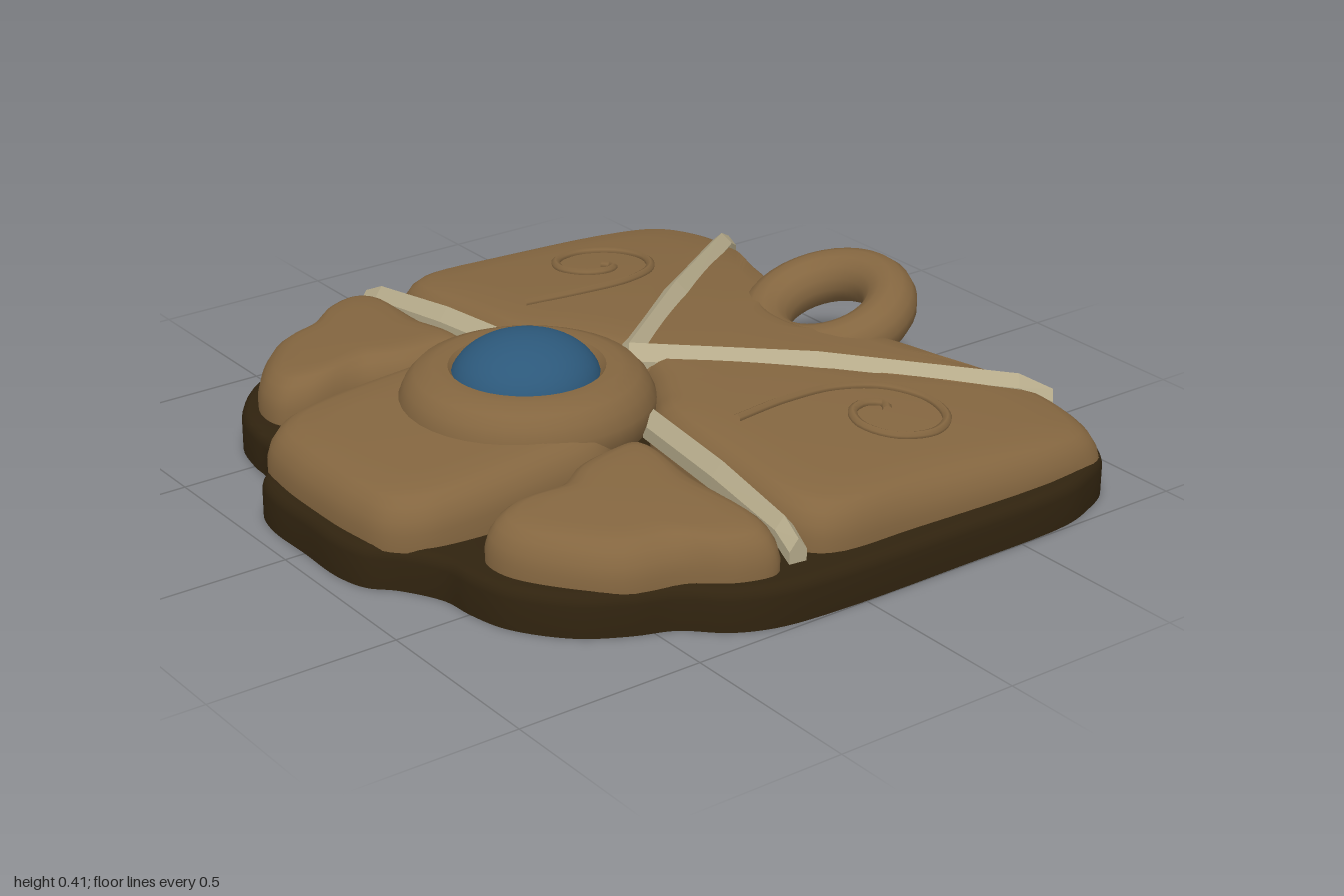
import * as THREE from 'three';
import { toCreasedNormals } from 'three/addons/utils/BufferGeometryUtils.js';

const mat = (name, color, side = THREE.FrontSide) => {
  const m = new THREE.MeshStandardMaterial({ color, side });
  m.name = name;
  return m;
};

// Gently domed height shared by the plates, scrolls and ribs
const dome = (x, z) => 0.28 - 0.07 * (x * x + z * z);

const mirrored = (pts) => pts.map(([x, ...rest]) => [-x, ...rest]);
// Half outline (front to back) completed to a symmetric loop
const symmetric = (half) => half.concat(mirrored(half).reverse().filter(([x]) => Math.abs(x) > 1e-6));

// Triangles between successive rings of n vertices
function stitch(rings, n) {
  const index = [];
  for (let r = 0; r < rings - 1; r++)
    for (let j = 0; j < n; j++) {
      const k = (j + 1) % n, a = r * n, b = a + n;
      index.push(a + j, a + k, b + k, a + j, b + k, b + j);
    }
  return index;
}

function build(pos, index) {
  const g = new THREE.BufferGeometry();
  g.setAttribute('position', new THREE.Float32BufferAttribute(pos, 3));
  g.setIndex(index);
  return g;
}

// Pillow-shaped slab: closed outline, wall, rounded shoulder and domed top
function slab(outline, [cx, cz], bottom, height, bevel, drop) {
  const curve = new THREE.CatmullRomCurve3(outline.map(([x, z]) => new THREE.Vector3(x, 0, z)), true);
  let pts = curve.getPoints(outline.length * 5).slice(0, -1);
  const area = pts.reduce((s, p, i) => {
    const q = pts[(i + 1) % pts.length];
    return s + q.x * p.z - p.x * q.z;
  }, 0);
  if (area < 0) pts = pts.reverse();
  // [inset share of bevel, drop share, pull to centre]
  const steps = [[0, null, 1], [0, null, 0], [0, 1, 0], [0.12, 0.6, 0], [0.35, 0.27, 0], [0.65, 0.08, 0],
    [1, 0, 0], [1, 0, 0.25], [1, 0, 0.5], [1, 0, 0.75], [1, 0, 1]];
  const pos = [];
  for (const [inset, dropShare, pull] of steps)
    for (const p of pts) {
      const d = Math.hypot(cx - p.x, cz - p.z);
      const t = Math.min(1, (inset * bevel) / d);
      const f = t + (1 - t) * pull;
      const x = p.x + (cx - p.x) * f, z = p.z + (cz - p.z) * f;
      pos.push(x, dropShare === null ? bottom : height(x, z) - drop * dropShare, z);
    }
  return toCreasedNormals(build(pos, stitch(steps.length, pts.length)), 0.7);
}

// Ridged bar lofted through stations [x, z, y, half width, half height]
function ridgedBar(stations) {
  const section = [[1, -0.8], [1, 0.1], [0, 1], [-1, 0.1], [-1, -0.8]];
  const first = stations[0], last = stations[stations.length - 1];
  const dir = new THREE.Vector2(last[0] - first[0], last[1] - first[1]).normalize();
  const pos = [];
  for (const [x, z, y, w, h] of stations)
    for (const [s, u] of section) pos.push(x - dir.y * s * w, y + u * h, z + dir.x * s * w);
  const n = section.length, index = stitch(stations.length, n);
  const end = (stations.length - 1) * n;
  for (let j = 1; j < n - 1; j++) index.push(0, j + 1, j, end, end + j, end + j + 1);
  const g = build(pos, index).toNonIndexed();
  g.computeVertexNormals();
  return g;
}

export function createModel() {
  const model = new THREE.Group();
  const brown = mat('brown leather', 0x846640);
  const dark = mat('dark backing', 0x30230f);
  const cream = mat('pale bone', 0xb5aa8a, THREE.DoubleSide);
  const blue = mat('blue stone', 0x2c587a);
  const add = (name, geometry, material) => {
    const mesh = new THREE.Mesh(geometry, material);
    mesh.name = name;
    model.add(mesh);
    return mesh;
  };

  // Backing with a scalloped front and notched back
  const backing = symmetric([[0, 0.945], [0.15, 0.945], [0.24, 0.92], [0.3, 0.865], [0.41, 0.805], [0.5, 0.795],
    [0.61, 0.765], [0.74, 0.665], [0.81, 0.55], [0.85, 0.45], [0.93, 0.36], [0.975, 0.26], [0.995, 0.1],
    [0.998, -0.3], [0.99, -0.66], [0.96, -0.76], [0.91, -0.855], [0.81, -0.92], [0.69, -0.955], [0.58, -0.905],
    [0.43, -0.81], [0.34, -0.785], [0.2, -0.79], [0, -0.8]]);
  add('backing', slab(backing, [0, 0], 0, () => 0.11, 0.03, 0.03), dark);

  // Central front plate and back wedge between the long ribs
  const frontPlate = symmetric([[0, 0.915], [0.15, 0.91], [0.27, 0.885], [0.33, 0.82], [0.355, 0.72],
    [0.36, 0.45], [0.34, 0.27], [0.25, 0.2], [0, 0.2]]);
  add('frontPlate', slab(frontPlate, [0, 0.55], 0.1, dome, 0.08, 0.08), brown);
  const wedge = symmetric([[0, -0.02], [0.34, -0.39], [0.65, -0.82], [0.6, -0.85], [0.42, -0.785],
    [0.25, -0.72], [0.12, -0.59], [0, -0.57]]);
  add('backWedge', slab(wedge, [0, -0.38], 0.1, dome, 0.05, 0.06), brown);

  // Paired parts
  const wing = [[-0.03, -0.1], [0.1, -0.02], [0.2, 0.04], [0.28, 0.09], [0.6, 0.12], [0.85, 0.11], [0.92, 0.05],
    [0.94, -0.2], [0.945, -0.72], [0.905, -0.85], [0.8, -0.895], [0.68, -0.9], [0.62, -0.88], [0.28, -0.46]];
  const sidePlate = [[0.37, 0.2], [0.6, 0.19], [0.88, 0.18], [0.93, 0.22], [0.91, 0.32], [0.84, 0.42], [0.79, 0.56],
    [0.69, 0.66], [0.56, 0.735], [0.47, 0.73], [0.425, 0.66], [0.42, 0.5], [0.37, 0.4], [0.355, 0.28]];
  const longRib = [[0, -0.04, 0.27, 0.038, 0.04], [0.3, -0.42, 0.255, 0.036, 0.038],
    [0.62, -0.83, 0.205, 0.03, 0.032], [0.675, -0.9, 0.165, 0.022, 0.03]];
  const sideRib = [[0.27, 0.085, 0.215, 0.03, 0.04], [0.6, 0.125, 0.21, 0.03, 0.04],
    [0.88, 0.16, 0.19, 0.026, 0.036], [0.945, 0.17, 0.16, 0.024, 0.035]];
  const scroll = [[0.46, -0.03], [0.44, -0.2], [0.445, -0.36], [0.5, -0.48], [0.6, -0.535], [0.7, -0.51],
    [0.75, -0.42], [0.72, -0.32], [0.64, -0.28], [0.57, -0.31], [0.55, -0.37], [0.575, -0.41], [0.605, -0.395]];
  for (const side of ['left', 'right']) {
    const s = side === 'left' ? 1 : -1;
    const flip = (pts) => (s > 0 ? pts : mirrored(pts));
    add(side + 'Wing', slab(flip(wing), [0.58 * s, -0.38], 0.1, dome, 0.08, 0.08), brown);
    add(side + 'FrontPlate', slab(flip(sidePlate), [0.61 * s, 0.42], 0.1, dome, 0.08, 0.08), brown);
    add(side + 'LongRib', ridgedBar(flip(longRib)), cream);
    add(side + 'SideRib', ridgedBar(flip(sideRib)), cream);
    const path = new THREE.CatmullRomCurve3(
      flip(scroll).map(([x, z]) => new THREE.Vector3(x, dome(x, z) + 0.002, z)));
    add(side + 'Scroll', new THREE.TubeGeometry(path, 60, 0.013, 6), brown);
  }

  // Round setting with its domed stone
  const profile = [[0, 0.18], [0.31, 0.18], [0.328, 0.22], [0.326, 0.255], [0.31, 0.29], [0.285, 0.318],
    [0.24, 0.335], [0.2, 0.333], [0.175, 0.3], [0, 0.29]].map(([x, y]) => new THREE.Vector2(x, y));
  const setting = add('stoneSetting', toCreasedNormals(new THREE.LatheGeometry(profile, 40), 0.8), brown);
  setting.position.z = 0.28;
  const stone = add('stone', new THREE.SphereGeometry(1, 32, 12, 0, Math.PI * 2, 0, Math.PI / 2), blue);
  stone.scale.set(0.19, 0.125, 0.195);
  stone.position.set(0, 0.29, 0.285);

  // Tilted hanging loop at the back
  const loop = add('hangingLoop', new THREE.TorusGeometry(0.175, 0.073, 14, 36).rotateX(-Math.PI / 2), brown);
  loop.rotation.x = 0.32;
  loop.position.set(0, 0.23, -0.705);

  return model;
}
